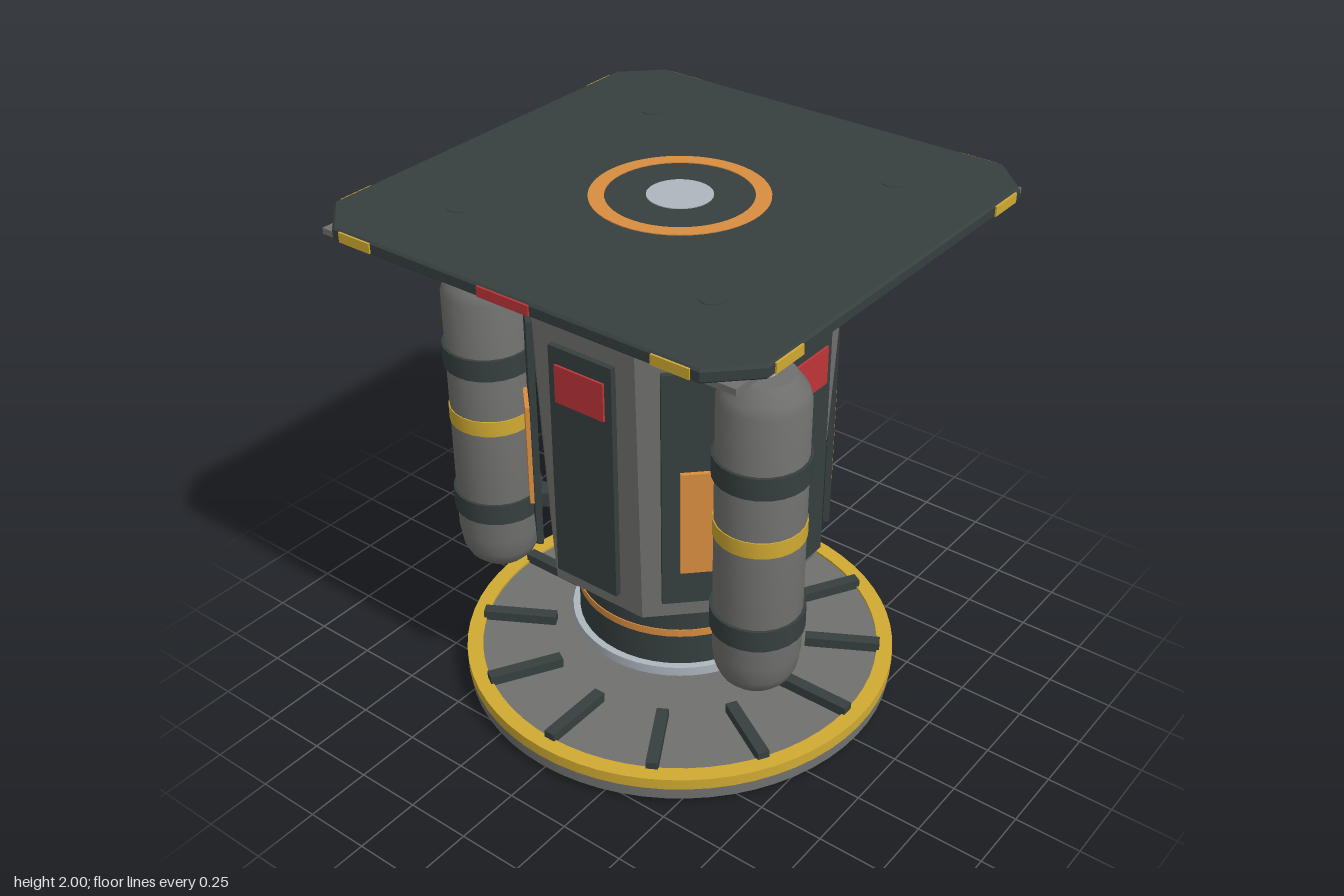
import * as THREE from 'three';
import { toCreasedNormals } from 'three/addons/utils/BufferGeometryUtils.js';

const mat = (name, color) => {
  const m = new THREE.MeshStandardMaterial({ color });
  m.name = name;
  return m;
};

export function createModel() {
  const grey = mat('steel grey', 0x70706e);
  const dark = mat('dark slate', 0x363f3f);
  const silver = mat('pale silver', 0xadb7be);
  const orange = mat('orange', 0xd98d40);
  const yellow = mat('yellow', 0xd0aa32);
  const red = mat('red', 0xbe3538);

  const model = new THREE.Group();
  model.name = 'platformMachine';

  const add = (parent, name, geo, material, x = 0, y = 0, z = 0) => {
    const mesh = new THREE.Mesh(geo, material);
    mesh.name = name;
    mesh.position.set(x, y, z);
    parent.add(mesh);
    return mesh;
  };
  const group = (name, angle = 0) => {
    const g = new THREE.Group();
    g.name = name;
    g.rotation.y = angle;
    model.add(g);
    return g;
  };
  const box = (w, h, d) => new THREE.BoxGeometry(w, h, d);
  // Revolved profile, listed from bottom to top as [radius, y]
  const lathe = (pts, sides = 48, crease = 0.5, start = 0) => toCreasedNormals(
    new THREE.LatheGeometry(pts.map(p => new THREE.Vector2(...p)), sides, start), crease);
  const drum = (r, y0, y1, sides) => lathe([[0, y0], [r, y0], [r, y1], [0, y1]], sides);
  const hoop = (r0, r1, y0, y1, sides) =>
    lathe([[r0, y0], [r1, y0], [r1, y1], [r0, y1], [r0, y0]], sides);

  // Round base with hazard rim and radial ribs
  add(model, 'baseDisc', lathe([[0, 0], [0.81, 0], [0.83, 0.02], [0.83, 0.075], [0.79, 0.105], [0, 0.105]], 64), grey);
  add(model, 'baseRim', hoop(0.775, 0.836, 0.07, 0.115, 64), yellow);
  for (let i = 0; i < 12; i++) {
    const rib = group('baseRib', i * Math.PI / 6);
    add(rib, 'rib', box(0.045, 0.045, 0.29), dark, 0, 0.1225, 0.64);
  }

  // Turntable column
  add(model, 'hub', lathe([[0, 0.1], [0.258, 0.1], [0.258, 0.195], [0.243, 0.212], [0, 0.212]]), dark);
  add(model, 'neck', drum(0.19, 0.2, 0.245), silver);
  add(model, 'flange', drum(0.415, 0.237, 0.275), silver);
  add(model, 'drum', drum(0.388, 0.27, 0.6), dark);
  add(model, 'drumBand', hoop(0.38, 0.392, 0.405, 0.435), orange);

  // Eight-sided body; radii are given to the flat faces
  const k = 1 / Math.cos(Math.PI / 8);
  const profile = [[0, 0.585], [0.48 * k, 0.585], [0.528 * k, 1.74], [0.5 * k, 1.955], [0, 1.955]];
  add(model, 'body', lathe(profile, 8, 0.05, Math.PI / 8), grey);

  // Body panels: red plates on the straight sides, orange ones on the diagonals
  for (let i = 0; i < 8; i++) {
    const panel = group('bodyPanel', i * Math.PI / 4);
    add(panel, 'panelBoard', box(0.27, 0.93, 0.024), dark, 0, 1.155, 0.533);
    if (i % 2) add(panel, 'orangePlate', box(0.145, 0.41, 0.018), orange, 0, 1.035, 0.552);
    else add(panel, 'redPlate', box(0.21, 0.145, 0.009), red, 0, 1.483, 0.549);
  }

  // Three tanks, each with straps, brackets and a valve
  const tankProfile = [[0, 0.45], [0.1, 0.45], [0.128, 0.478], [0.147, 0.52], [0.157, 0.59],
    [0.157, 1.6], [0.145, 1.635], [0.105, 1.69], [0, 1.69]];
  for (let i = 0; i < 3; i++) {
    const tank = group('tank', Math.PI + i * Math.PI * 2 / 3);
    const R = 0.695;
    add(tank, 'tankShell', lathe(tankProfile, 24, 0.6), grey, 0, 0, R);
    add(tank, 'tankStripe', hoop(0.15, 0.161, 1.07, 1.132, 24), yellow, 0, 0, R);
    for (const y of [0.725, 1.348]) {
      add(tank, 'tankStrap', hoop(0.15, 0.168, y - 0.042, y + 0.042, 24), dark, 0, 0, R);
      add(tank, 'tankBracket', box(0.08, 0.06, 0.12), dark, 0, y, 0.53);
    }
    add(tank, 'valve', drum(0.042, 1.68, 1.762, 16), silver, 0, 0, R);
    const pipe = add(tank, 'valvePipe', new THREE.CylinderGeometry(0.018, 0.018, 0.21, 12), silver, 0, 1.75, 0.605);
    pipe.rotation.x = Math.PI / 2;
  }

  // Square top plate with cut corners
  const s = 0.874, c = 0.74;
  const outline = new THREE.Shape([[c, -s], [s, -c], [s, c], [c, s], [-c, s], [-s, c], [-s, -c], [-c, -s]]
    .map(p => new THREE.Vector2(...p)));
  const plateGeo = new THREE.ExtrudeGeometry(outline,
    { depth: 0.032, bevelEnabled: true, bevelSize: 0.008, bevelThickness: 0.008, bevelSegments: 1 });
  plateGeo.rotateX(-Math.PI / 2);
  add(model, 'topPlate', plateGeo, dark, 0, 1.957, 0);

  // Frame, bolts and edge markings on each side of the plate
  for (let i = 0; i < 4; i++) {
    const side = group('plateSide', i * Math.PI / 2);
    add(side, 'frameRail', box(1.62, 0.022, 0.06), grey, 0.03, 1.939, 0.81);
    add(side, 'frameBolt', drum(0.025, 1.905, 1.955, 12), silver, 0.735, 0, 0.735);
    add(side, 'plateScrew', drum(0.045, 1.98, 1.999, 20), dark, 0.52, 0, 0.52);
    for (const x of [-0.64, 0.64]) {
      add(side, 'edgeStripe', box(0.14, 0.036, 0.009), yellow, x, 1.973, 0.883);
    }
    if (i === 0) add(side, 'frontMarker', box(0.21, 0.036, 0.009), red, 0, 1.973, 0.883);
  }

  // Target in the middle of the plate
  add(model, 'topRing', hoop(0.255, 0.31, 1.99, 2.0), orange);
  add(model, 'topCentre', drum(0.115, 1.99, 2.0, 32), silver);
  return model;
}
